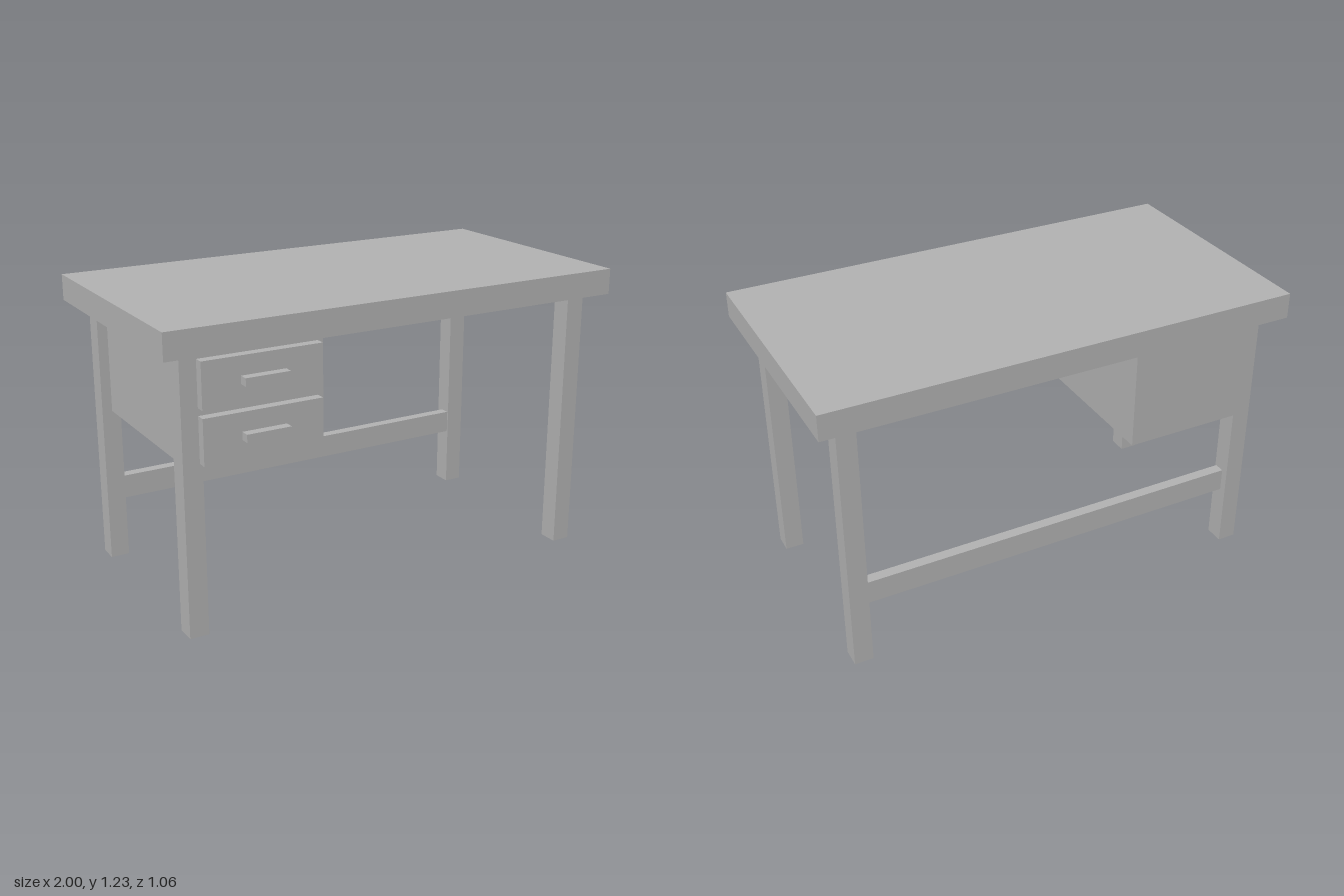
import * as THREE from 'three';

export function createModel() {
  const desk = new THREE.Group();
  desk.name = 'desk';
  const grey = new THREE.MeshStandardMaterial({ color: 0xb2b2b2 });
  grey.name = 'grey';

  // Adds a box given its [min, max] range on each axis
  function block(name, [x0, x1], [y0, y1], [z0, z1], parent = desk) {
    const mesh = new THREE.Mesh(new THREE.BoxGeometry(x1 - x0, y1 - y0, z1 - z0), grey);
    mesh.position.set((x0 + x1) / 2, (y0 + y1) / 2, (z0 + z1) / 2);
    mesh.name = name;
    parent.add(mesh);
  }

  block('tabletop', [-1, 1], [1.118, 1.225], [-0.53, 0.518]);

  // Four square legs
  for (const [side, x] of [['Right', [-0.917, -0.838]], ['Left', [0.838, 0.917]]]) {
    block('front' + side + 'Leg', x, [0, 1.118], [0.37, 0.453]);
    block('back' + side + 'Leg', x, [0, 1.118], [-0.461, -0.379]);
  }

  // Rail between the back legs
  block('backStretcher', [-0.838, 0.838], [0.26, 0.36], [-0.43, -0.385]);

  // Drawer cabinet, set between the right-hand legs
  block('drawerCabinet', [-0.875, -0.335], [0.66, 1.102], [-0.461, 0.453]);

  // Two drawers with bar handles
  for (const [name, y0, y1] of [['upperDrawer', 0.91, 1.093], ['lowerDrawer', 0.697, 0.88]]) {
    const drawer = new THREE.Group();
    drawer.name = name;
    const mid = (y0 + y1) / 2;
    block('drawerFront', [-0.85, -0.358], [y0, y1], [0.453, 0.492], drawer);
    block('drawerHandle', [-0.695, -0.512], [mid - 0.016, mid + 0.016], [0.492, 0.53], drawer);
    desk.add(drawer);
  }

  return desk;
}
